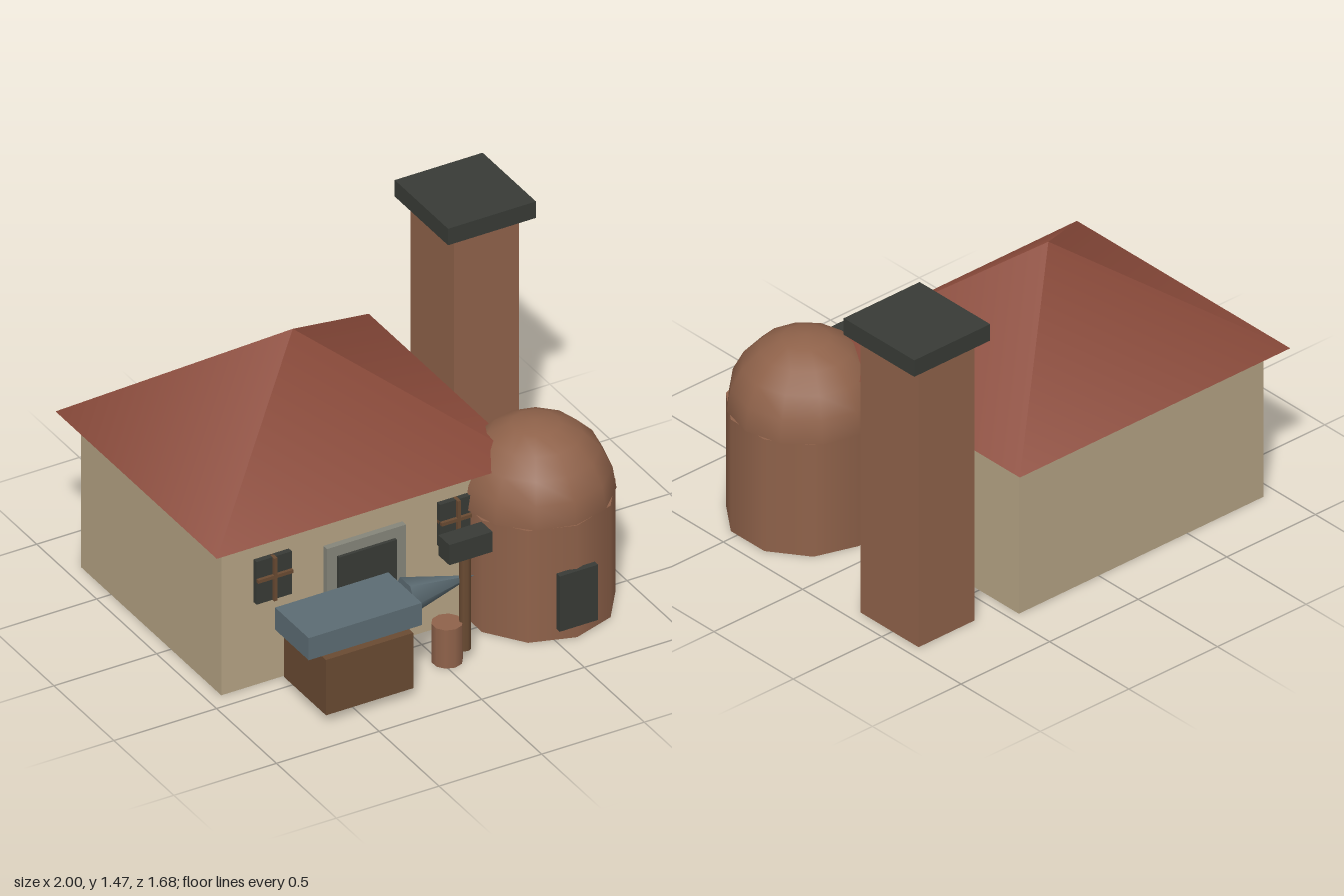
import * as THREE from 'three';

const mat = (color) => new THREE.MeshStandardMaterial({ color });

export function createModel() {
  const model = new THREE.Group();
  const wall = mat(0xb5a384), roofRed = mat(0x8a4a3a), brick = mat(0x8f624a), dark = mat(0x383b36);
  const wood = mat(0x694a32), steel = mat(0x5c6c73), stone = mat(0x85857a);

  const add = (name, geometry, material, x, y, z, parent = model) => {
    const mesh = new THREE.Mesh(geometry, material);
    mesh.name = name;
    mesh.position.set(x, y, z);
    parent.add(mesh);
    return mesh;
  };
  // Box given by its extents on each axis
  const box = (name, material, [x0, x1], [y0, y1], [z0, z1], parent) =>
    add(name, new THREE.BoxGeometry(x1 - x0, y1 - y0, z1 - z0), material,
      (x0 + x1) / 2, (y0 + y1) / 2, (z0 + z1) / 2, parent);

  // House with a four-sided roof
  const cx = -0.24, cz = -0.165;
  box('walls', wall, [-0.93, 0.45], [0, 0.75], [-0.75, 0.42]);
  const roof = new THREE.ConeGeometry(Math.SQRT2, 0.535, 4).rotateY(Math.PI / 4);
  roof.scale(0.763, 1, 0.673);
  add('roof', roof, roofRed, cx, 0.75 + 0.535 / 2, cz);

  // Door and its stone surround
  box('doorFrame', stone, [-0.433, -0.048], [0.025, 0.585], [0.4, 0.45]);
  box('door', dark, [-0.383, -0.1], [0.025, 0.535], [0.41, 0.465]);

  // Windows either side of the door, each with crossed bars
  for (const side of [-1, 1]) {
    const x = cx + side * 0.447, y = 0.52;
    const window = new THREE.Group();
    window.name = side < 0 ? 'rightWindow' : 'leftWindow';
    model.add(window);
    box('pane', dark, [x - 0.086, x + 0.086], [y - 0.106, y + 0.106], [0.4, 0.445], window);
    box('uprightBar', wood, [x - 0.008, x + 0.008], [y - 0.106, y + 0.106], [0.42, 0.46], window);
    box('crossBar', wood, [x - 0.086, x + 0.086], [y + 0.006, y + 0.022], [0.42, 0.46], window);
  }

  // Chimney
  box('chimney', brick, [0.625, 0.94], [0, 1.39], [-0.665, -0.3]);
  box('chimneyCap', dark, [0.572, 1], [1.39, 1.472], [-0.705, -0.26]);

  // Domed furnace
  add('furnace', new THREE.CylinderGeometry(0.342, 0.342, 0.555, 10), brick, 0.594, 0.2775, 0.437);
  add('furnaceDome', new THREE.SphereGeometry(0.34, 12, 5, 0, Math.PI * 2, 0, Math.PI / 2), brick,
    0.594, 0.555, 0.433);
  box('furnaceDoor', dark, [0.5, 0.687], [0.065, 0.34], [0.767, 0.795]);

  // Anvil on its block
  box('anvilBlock', wood, [-0.665, -0.24], [0.045, 0.32], [0.49, 0.84]);
  box('anvil', steel, [-0.729, -0.178], [0.32, 0.43], [0.525, 0.805]);
  const horn = new THREE.ConeGeometry(0.085, 0.335, 6).rotateZ(-Math.PI / 2);
  add('anvilHorn', horn, steel, -0.01, 0.385, 0.665);

  // Row of stumps
  for (const x of [-0.52, -0.24, 0.03]) {
    add('stump', new THREE.CylinderGeometry(0.068, 0.068, 0.19, 10), brick, x, 0.095, 0.66);
  }

  // Standing hammer
  const hammer = new THREE.Group();
  hammer.name = 'hammer';
  model.add(hammer);
  add('hammerHandle', new THREE.CylinderGeometry(0.026, 0.026, 0.5, 8), wood, 0.102, 0.3, 0.685, hammer);
  box('hammerHead', dark, [0, 0.21], [0.52, 0.62], [0.638, 0.73], hammer);

  return model;
}
